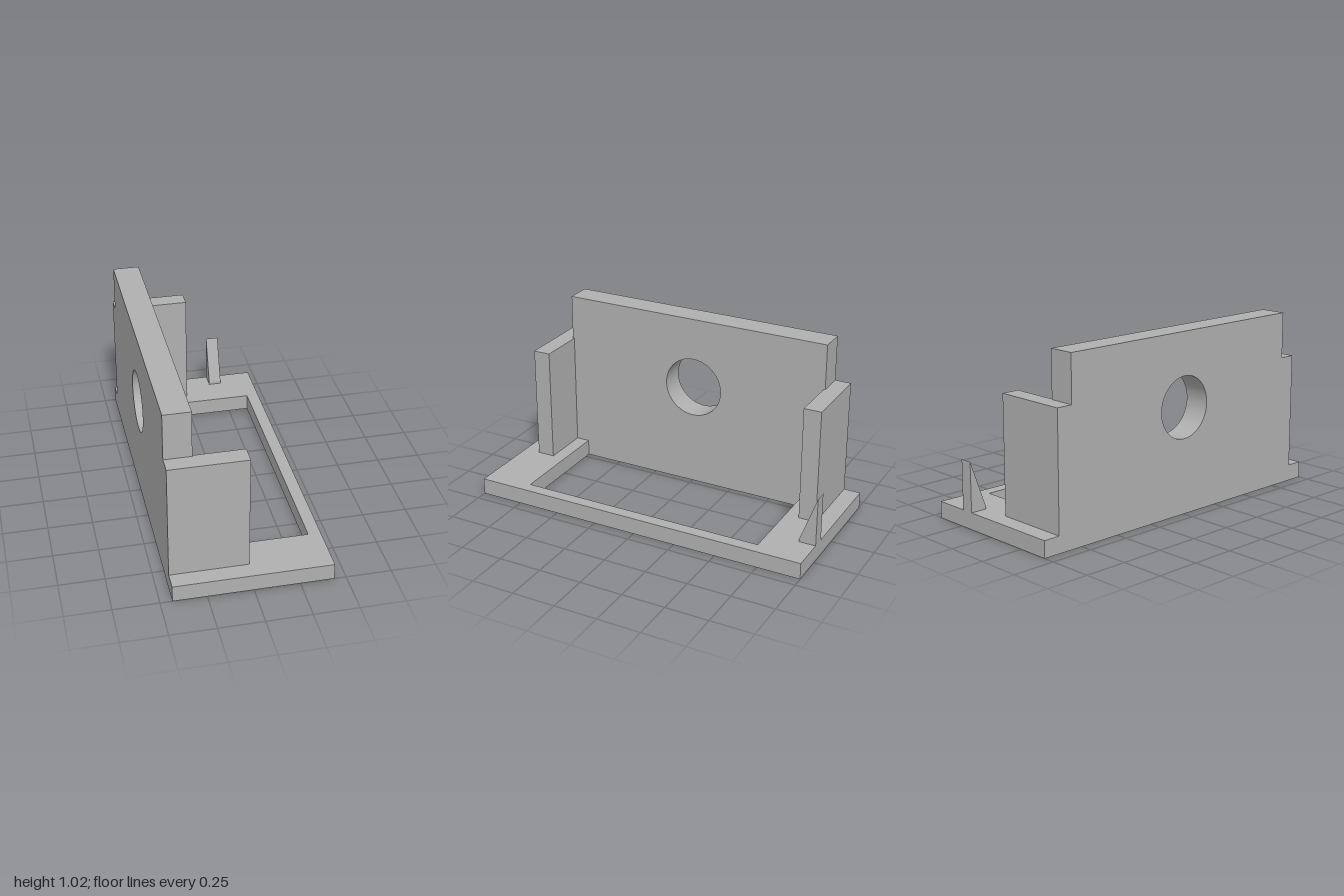
import * as THREE from 'three';
import { toCreasedNormals } from 'three/addons/utils/BufferGeometryUtils.js';

const BASE_TOP = 0.095;
const BACK = -0.435;

export function createModel() {
  const model = new THREE.Group();
  model.name = 'bracket';
  const grey = new THREE.MeshStandardMaterial({ color: 0xb0b0b0 });
  grey.name = 'grey';

  const add = (name, geometry) => {
    const mesh = new THREE.Mesh(geometry, grey);
    mesh.name = name;
    model.add(mesh);
    return mesh;
  };
  const polygon = (...points) => new THREE.Shape(points.map(([x, y]) => new THREE.Vector2(x, y)));
  const rectangle = (x0, y0, x1, y1) => polygon([x0, y0], [x1, y0], [x1, y1], [x0, y1]);
  const extrude = (shape, depth) =>
    new THREE.ExtrudeGeometry(shape, { depth, bevelEnabled: false, curveSegments: 48 });

  // Flat base frame with a rectangular opening up to the wall
  const frame = rectangle(BACK, -1, 0.435, 1);
  frame.holes.push(rectangle(-0.285, -0.722, 0.365, 0.722));
  add('baseFrame', extrude(frame, BASE_TOP).rotateX(-Math.PI / 2));

  // Tall wall with a round through hole
  const wall = rectangle(-0.81, BASE_TOP, 0.81, 1.024);
  const hole = new THREE.Path();
  hole.absarc(0, 0.605, 0.175, 0, Math.PI * 2, true);
  wall.holes.push(hole);
  const wallGeometry = extrude(wall, 0.15).rotateY(Math.PI / 2).translate(BACK, 0, 0);
  add('wall', toCreasedNormals(wallGeometry, 0.6));

  // Side panels at both ends of the wall
  for (const [name, side] of [['leftPanel', 1], ['rightPanel', -1]]) {
    add(name, new THREE.BoxGeometry(0.43, 0.76 - BASE_TOP, 0.102))
      .position.set(BACK + 0.215, (0.76 + BASE_TOP) / 2, side * 0.852);
  }

  // Small upright wedge on the rear edge
  const wedge = polygon([0.905, BASE_TOP], [1, BASE_TOP], [1, 0.377], [0.905, 0.113]);
  add('wedge', extrude(wedge, 0.073).rotateY(Math.PI / 2).translate(0.16, 0, 0));

  return model;
}
